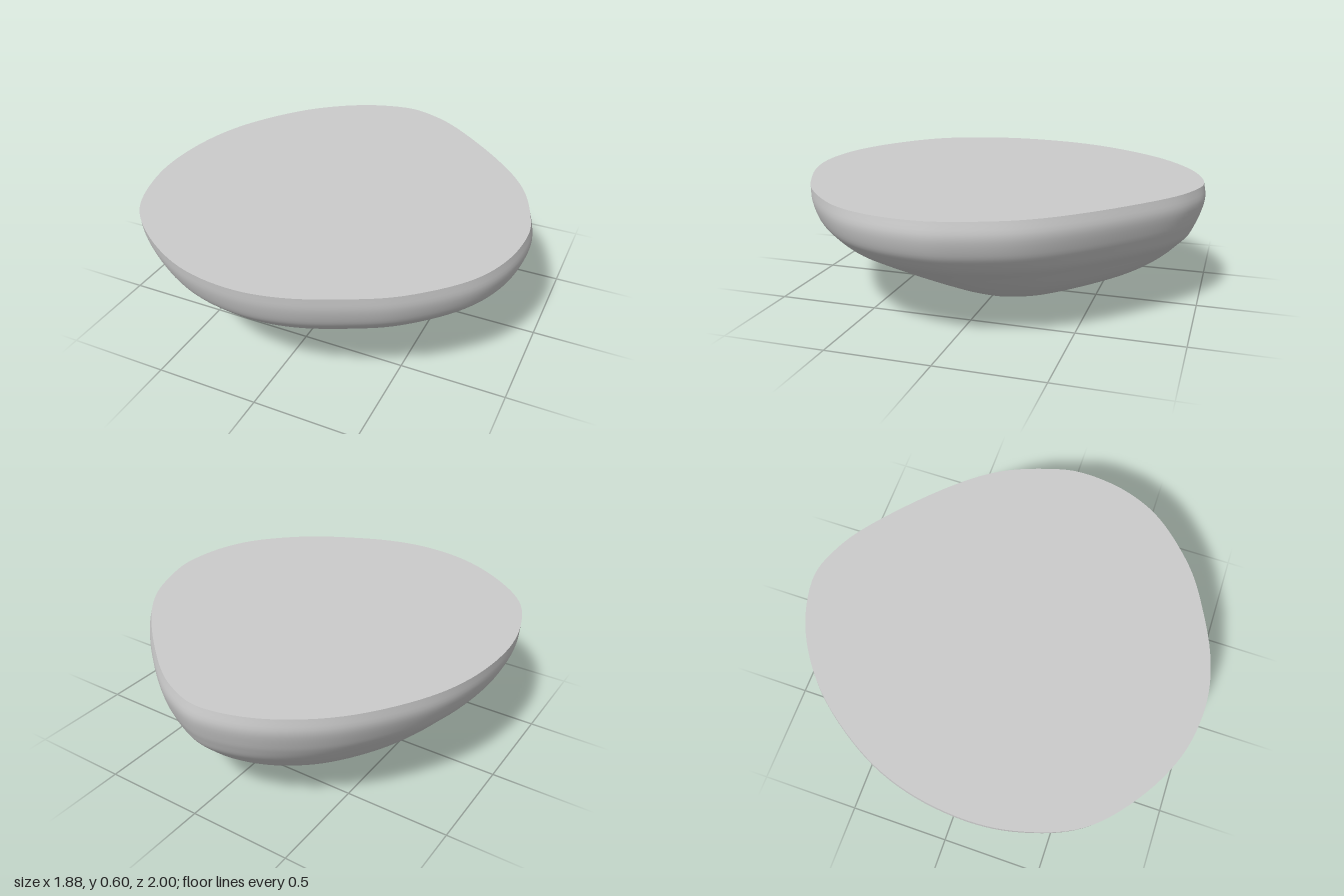
import * as THREE from 'three';

// Rim outline in plan [x, z], starting at the back and running towards +x
const OUTLINE = [
  [-0.09, -1], [0.1, -0.96], [0.3, -0.84], [0.6, -0.575], [0.8, -0.33], [0.91, -0.06],
  [0.935, 0.12], [0.9, 0.34], [0.8, 0.54], [0.6, 0.74], [0.4, 0.86], [0.15, 0.965],
  [-0.09, 1], [-0.35, 0.955], [-0.6, 0.82], [-0.8, 0.63], [-0.905, 0.38],
  [-0.94, 0.12], [-0.905, -0.18], [-0.8, -0.45], [-0.6, -0.73], [-0.35, -0.92],
];
const CENTRE = [-0.09, 0.12];

// Body sections: [y, right, left, back, front] extents from rim to base
const LEVELS = [
  [0.6, -0.94, 0.925, -0.99, 1], [0.53, -0.937, 0.937, -1, 0.99],
  [0.45, -0.905, 0.915, -0.98, 0.96], [0.4, -0.87, 0.88, -0.96, 0.92],
  [0.35, -0.82, 0.83, -0.935, 0.865], [0.3, -0.77, 0.755, -0.89, 0.78],
  [0.25, -0.71, 0.68, -0.84, 0.67], [0.2, -0.64, 0.6, -0.775, 0.55],
  [0.15, -0.57, 0.51, -0.69, 0.44], [0.1, -0.49, 0.41, -0.58, 0.33],
  [0.06, -0.42, 0.31, -0.47, 0.22], [0.03, -0.33, 0.2, -0.37, 0.13],
  [0.019, -0.28, 0.13, -0.33, 0.03], [0.007, -0.21, 0.06, -0.28, -0.1],
  [0, -0.08, -0.08, -0.2, -0.2],
];
const AROUND = 132, DOWN = 56;

const spline = (points, closed) => new THREE.CatmullRomCurve3(points, closed, 'catmullrom', 0.5);

// Outline as signed fractions of its extents, so each section can stretch it
function unitOutline() {
  const curve = spline(OUTLINE.map(([x, z]) => new THREE.Vector3(x, 0, z)), true);
  return Array.from({ length: AROUND }, (_, j) => {
    const p = curve.getPoint(j / AROUND);
    const x = p.x - CENTRE[0], z = p.z - CENTRE[1];
    return [x / (x < 0 ? 0.85 : 1.025), z / (z < 0 ? 1.12 : 0.88)];
  });
}

function sectionRings() {
  const unit = unitOutline();
  const xs = spline(LEVELS.map(l => new THREE.Vector3(l[1], l[0], l[2])));
  const zs = spline(LEVELS.map(l => new THREE.Vector3(l[3], l[0], l[4])));
  const rings = [];
  for (let i = 0; i <= DOWN; i++) {
    const a = xs.getPoint(i / DOWN), b = zs.getPoint(i / DOWN);
    const cx = a.x + (a.z - a.x) * 0.455, cz = b.x + (b.z - b.x) * 0.56;
    rings.push(unit.map(([u, v]) => [
      cx + u * (u < 0 ? cx - a.x : a.z - cx),
      Math.max(0, a.y),
      cz + v * (v < 0 ? cz - b.x : b.z - cz),
    ]));
  }
  return rings;
}

function makeGeometry(points, index) {
  const geometry = new THREE.BufferGeometry();
  geometry.setAttribute('position', new THREE.Float32BufferAttribute(points.flat(), 3));
  geometry.setIndex(index);
  geometry.computeVertexNormals();
  return geometry;
}

export function createModel() {
  const group = new THREE.Group();
  group.name = 'flatToppedStone';
  const material = new THREE.MeshStandardMaterial({ color: 0xcccccc });
  const rings = sectionRings();

  // Rounded underside: rings joined down to a single base point
  const bodyIndex = [];
  for (let i = 0; i < DOWN; i++) {
    for (let j = 0; j < AROUND; j++) {
      const k = (j + 1) % AROUND;
      const a = i * AROUND + j, b = i * AROUND + k;
      const c = i === DOWN - 1 ? DOWN * AROUND : a + AROUND;
      bodyIndex.push(a, b, c);
      if (i < DOWN - 1) bodyIndex.push(b, b + AROUND, c);
    }
  }
  const bodyPoints = [...rings.slice(0, DOWN).flat(), rings[DOWN][0]];
  const body = new THREE.Mesh(makeGeometry(bodyPoints, bodyIndex), material);
  body.name = 'roundedBody';

  // Flat top
  const topIndex = [];
  for (let j = 0; j < AROUND; j++) topIndex.push(AROUND, (j + 1) % AROUND, j);
  const top = new THREE.Mesh(makeGeometry([...rings[0], [CENTRE[0], 0.6, CENTRE[1]]], topIndex), material);
  top.name = 'flatTop';

  group.add(body, top);
  return group;
}
